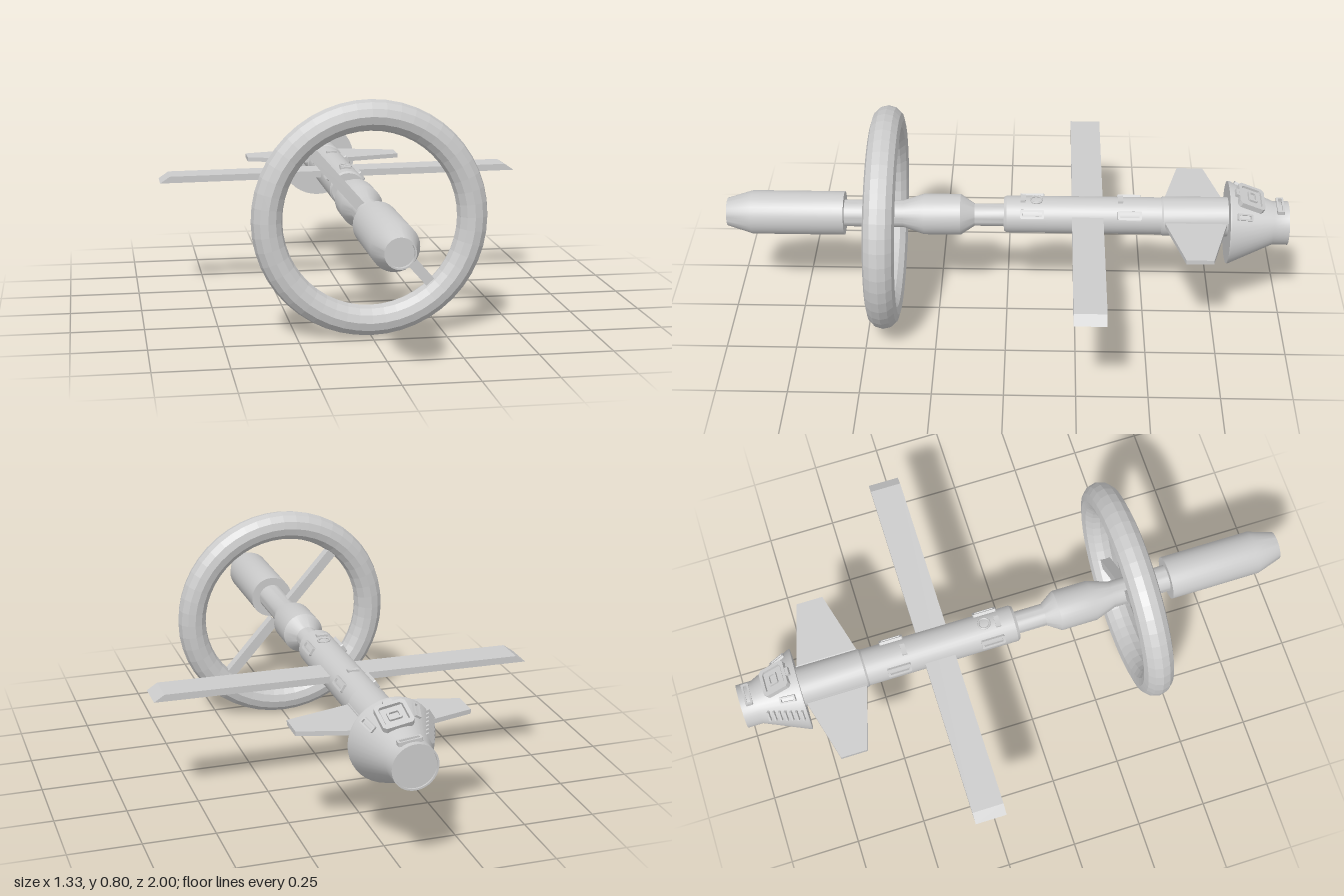
import * as THREE from 'three';
import { toCreasedNormals } from 'three/addons/utils/BufferGeometryUtils.js';

const AXIS_X = -0.007;
const grey = new THREE.MeshStandardMaterial({ color: 0xcccccc });
const faceted = new THREE.MeshStandardMaterial({ color: 0xcccccc, flatShading: true });

function add(parent, name, geometry, x = 0, y = 0, z = 0, material = grey) {
  const mesh = new THREE.Mesh(geometry, material);
  mesh.name = name;
  mesh.position.set(x, y, z);
  parent.add(mesh);
  return mesh;
}

// Solid of revolution along z from [z, radius] pairs in rising z
function turned(profile, sides = 32) {
  const pts = profile.map(([z, r]) => new THREE.Vector2(r, z));
  return toCreasedNormals(new THREE.LatheGeometry(pts, sides).rotateX(Math.PI / 2), 0.5);
}

// Flat outline extruded and centred on its thickness
function plate(points, depth) {
  const shape = new THREE.Shape(points.map(([x, y]) => new THREE.Vector2(x, y)));
  return new THREE.ExtrudeGeometry(shape, { depth, bevelEnabled: false }).translate(0, 0, -depth / 2);
}

// Rectangular frame lying in the xz plane
function frame(w, l, h, rim) {
  const rect = (a, b, Type) => {
    const c = Math.min(a, b) * 0.2;
    return new Type([[-a + c, -b], [a - c, -b], [a, -b + c], [a, b - c], [a - c, b], [-a + c, b], [-a, b - c], [-a, -b + c]]
      .map(([x, y]) => new THREE.Vector2(x, y)));
  };
  const shape = rect(w / 2, l / 2, THREE.Shape);
  shape.holes.push(rect(w / 2 - rim, l / 2 - rim, THREE.Path));
  return new THREE.ExtrudeGeometry(shape, { depth: h, bevelEnabled: false }).translate(0, 0, -h / 2).rotateX(-Math.PI / 2);
}

// Seat a part on a hull: angle runs from the top towards +x, slope leans it back
function seat(parent, name, geometry, angle, z, radius, slope = 0) {
  const pivot = new THREE.Group();
  pivot.name = name;
  pivot.rotation.z = -angle;
  add(pivot, name, geometry, 0, radius, z).rotation.x = -slope;
  parent.add(pivot);
}

export function createModel() {
  const model = new THREE.Group();
  model.name = 'spaceStation';

  // Front module with a recessed nose, then neck, bulb and rear neck
  add(model, 'frontModule', turned([[0.58, 0], [0.58, 0.078], [0.91, 0.078], [1, 0.05], [1, 0.045], [0.985, 0.045], [0.985, 0]]), AXIS_X, 0.414);
  add(model, 'connectingNeck', turned([[0, 0], [0, 0.04], [0.115, 0.04], [0.165, 0.073], [0.295, 0.073], [0.37, 0.048], [0.59, 0.048], [0.59, 0]]), AXIS_X, 0.415);

  // Ring with its two spokes, leaning very slightly
  const wheel = new THREE.Group();
  wheel.name = 'ringAssembly';
  wheel.position.set(-0.001, 0.403, 0.431);
  wheel.rotation.x = -0.016;
  model.add(wheel);
  add(wheel, 'ring', new THREE.TorusGeometry(0.3475, 0.0525, 12, 48).scale(1, 1, 1.04), 0, 0, 0, faceted);
  for (const side of [-1, 1]) {
    const spoke = add(wheel, 'spoke', new THREE.BoxGeometry(0.27, 0.036, 0.036), side * 0.118, -side * 0.132 + 0.006, 0);
    spoke.rotation.z = -0.85;
  }

  // Main hull and the slightly wider service section
  const hull = new THREE.Group();
  hull.name = 'hull';
  hull.position.set(AXIS_X, 0.42, 0);
  model.add(hull);
  add(hull, 'mainBody', turned([[-0.555, 0], [-0.555, 0.066], [0, 0.066], [0.01, 0.06], [0.01, 0]]));
  add(hull, 'serviceSection', turned([[-0.79, 0], [-0.79, 0.07], [-0.555, 0.07], [-0.548, 0.066], [-0.548, 0]]));

  // Grab rails, fittings and a round port on the hull
  for (const z of [-0.09, -0.435]) {
    for (const side of [-1, 1]) {
      seat(hull, 'sideBracket', frame(0.032, 0.085, 0.014, 0.008), side * 1.0, z, 0.067);
      seat(hull, 'grabRail', new THREE.BoxGeometry(0.006, 0.08, 0.008).rotateX(Math.PI / 2), side * 1.22, z, 0.07);
    }
    seat(hull, 'topPad', new THREE.BoxGeometry(0.04, 0.008, 0.018), 0, z + 0.032, 0.067);
  }
  seat(hull, 'roundPort', new THREE.TorusGeometry(0.02, 0.004, 6, 20).rotateX(Math.PI / 2), 0.1, -0.105, 0.067);
  for (const side of [-1, 1]) {
    seat(hull, 'sideRail', new THREE.BoxGeometry(0.008, 0.006, 0.22), side * 1.35, -0.67, 0.071);
  }

  // Long panel wing with bevelled tips
  const wing = add(model, 'panelWing', plate([[-0.663, -0.012], [0.663, -0.012], [0.627, 0.012], [-0.627, 0.012]], 0.111), -0.002, 0.435, -0.287);
  wing.rotation.z = 0.01;

  // Tapered fins
  for (const side of [-1, 1]) {
    const outline = [[0, -0.11], [0.068, -0.11], [0.297, -0.047], [0.297, 0.048], [0.068, 0.11], [0, 0.11]];
    const fin = add(model, side < 0 ? 'rightFin' : 'leftFin', plate(outline, 0.016), AXIS_X, 0.428, -0.669);
    fin.rotation.set(Math.PI / 2, 0, side < 0 ? Math.PI : 0);
  }

  // Capsule: cone with a short docking collar
  const capsule = new THREE.Group();
  capsule.name = 'capsule';
  capsule.position.set(AXIS_X, 0.397, 0);
  model.add(capsule);
  add(capsule, 'capsuleBody', turned([[-0.994, 0], [-0.994, 0.072], [-1, 0.072], [-1, 0.078], [-0.945, 0.078], [-0.79, 0.147], [-0.784, 0.147], [-0.784, 0]], 40));

  const slope = 0.424;
  const coneRadius = z => 0.078 + (z + 0.945) * 0.445;
  const onCone = (name, geometry, angle, z, lift = 0) => seat(capsule, name, geometry, angle, z, coneRadius(z) + lift, slope);

  // Hatch, inner window and hinge
  onCone('hatchFrame', frame(0.105, 0.1, 0.02, 0.012), 0.18, -0.86, 0.003);
  onCone('hatchPanel', new THREE.BoxGeometry(0.075, 0.012, 0.07), 0.18, -0.86);
  onCone('hatchWindow', frame(0.045, 0.035, 0.012, 0.007), 0.18, -0.865, 0.009);
  onCone('hatchHinge', new THREE.BoxGeometry(0.03, 0.016, 0.014), 0.18, -0.81, 0.004);

  // Forward windows beside the hatch
  for (const angle of [-0.5, 0.85]) {
    onCone('sideWindow', frame(0.024, 0.06, 0.012, 0.006), angle, -0.835, 0.002);
  }
  seat(capsule, 'collarWindow', frame(0.08, 0.026, 0.014, 0.007), 0.12, -0.968, 0.078);

  // Row of ladder rungs down the right flank
  for (let i = 0; i < 7; i++) {
    onCone('rung', new THREE.BoxGeometry(0.04, 0.014, 0.007), -1.0, -0.8 - i * 0.019, 0.002);
  }
  return model;
}
